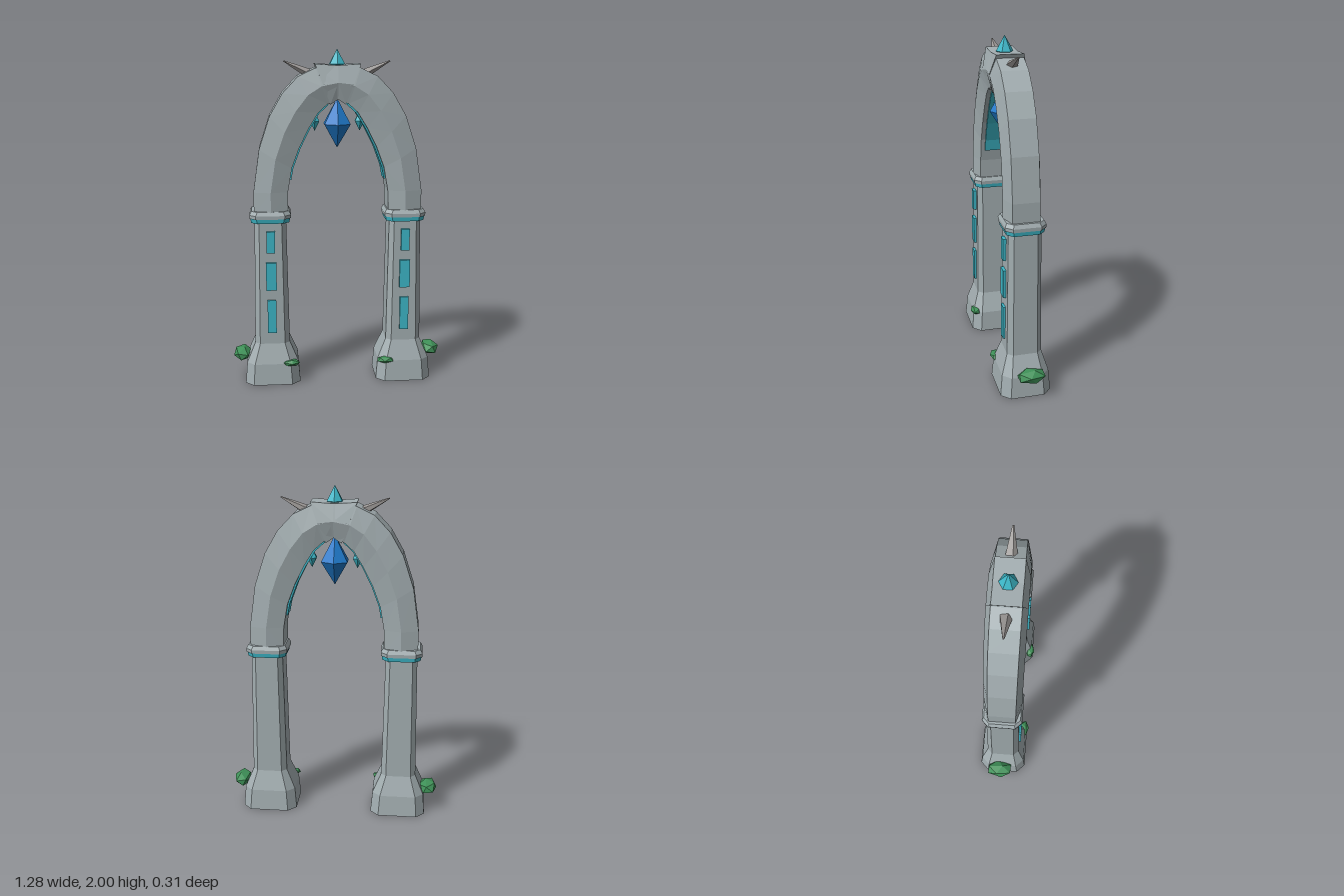
import * as THREE from 'three';

const ZC = -0.007; // shared centre line in z
const mat = (name, color) => Object.assign(new THREE.MeshStandardMaterial({ color }), { name });
const stone = mat('stone', 0xa3aeb1);
const horn = mat('horn', 0x9c9896);
const teal = mat('teal', 0x3db8c9);
const blue = mat('blue', 0x1f7acb);
const moss = mat('moss', 0x3f9158);

// Joins rings of points into a closed, flat-shaded solid that faces outward
function loft(rings) {
  const tris = [];
  const n = rings[0].length;
  for (let r = 0; r + 1 < rings.length; r++) {
    const a = rings[r], b = rings[r + 1];
    for (let i = 0; i < n; i++) {
      const j = (i + 1) % n;
      tris.push([a[i], a[j], b[j]], [a[i], b[j], b[i]]);
    }
  }
  const first = rings[0], last = rings[rings.length - 1];
  for (let i = 1; i + 1 < n; i++) {
    tris.push([first[0], first[i + 1], first[i]], [last[0], last[i], last[i + 1]]);
  }
  const volume = tris.reduce((v, [a, b, c]) => v + a.dot(b.clone().cross(c)), 0);
  const points = tris.flatMap(([a, b, c]) => (volume < 0 ? [a, c, b] : [a, b, c]));
  const g = new THREE.BufferGeometry().setFromPoints(points);
  g.computeVertexNormals();
  return g;
}

function add(parent, name, geometry, material, x = 0, y = 0, z = 0) {
  const m = new THREE.Mesh(geometry, material);
  m.name = name;
  m.position.set(x, y, z);
  parent.add(m);
  return m;
}

const flat = (g) => {
  const f = g.index ? g.toNonIndexed() : g;
  f.computeVertexNormals();
  return f;
};

// Rectangle with cut corners at height y
function octagon(y, hx, hz, c) {
  return [[hx, hz - c], [hx - c, hz], [c - hx, hz], [-hx, hz - c],
    [-hx, c - hz], [c - hx, -hz], [hx - c, -hz], [hx, c - hz]]
    .map(([x, z]) => new THREE.Vector3(x, y, z));
}
const column = (profile) => loft(profile.map((p) => octagon(...p)));

// Six-sided double pyramid; y values are relative to its widest ring
function crystal(r, up, down) {
  return flat(new THREE.LatheGeometry(
    [new THREE.Vector2(0, -down), new THREE.Vector2(r, 0), new THREE.Vector2(0, up)], 6));
}

// Outer and inner edges of one half of the arch, running past the middle
const outer = [[-0.495, 1.05], [-0.495, 1.18], [-0.458, 1.43], [-0.395, 1.62], [-0.32, 1.75],
  [-0.23, 1.845], [-0.13, 1.893], [0, 1.906], [0.132, 1.915]];
const inner = [[-0.298, 1.05], [-0.294, 1.18], [-0.27, 1.32], [-0.225, 1.44], [-0.17, 1.55],
  [-0.115, 1.64], [-0.06, 1.69], [0, 1.715], [0.045, 1.685]];

// Hexagonal section with a ridge along the middle of each face
function archHalf(s, k) {
  return loft(outer.map(([ox, oy], i) => {
    const [ix, iy] = inner[i];
    const mx = (ox + ix) / 2, my = (oy + iy) / 2;
    return [[ox, oy, 0.078], [mx, my, 0.108], [ix, iy, 0.08],
      [ix, iy, -0.08], [mx, my, -0.108], [ox, oy, -0.078]]
      .map(([x, y, z]) => new THREE.Vector3(s * x, y, z * k));
  }));
}

// Glowing strip lying on the inner face of the arch
function archStrip(s) {
  const path = [[-0.283, 1.25], ...inner.slice(2, 7)];
  return loft(path.map(([x, y], i) => {
    const a = path[Math.max(i - 1, 0)], b = path[Math.min(i + 1, path.length - 1)];
    const n = new THREE.Vector2(b[1] - a[1], a[0] - b[0]).normalize();
    return [[-0.01, 0.055], [0.01, 0.055], [0.01, -0.055], [-0.01, -0.055]]
      .map(([d, z]) => new THREE.Vector3(s * (x + n.x * d), y + n.y * d, z));
  }));
}

function mossClump(parent, x, y, z, rx, ry, rz, turn) {
  const g = new THREE.IcosahedronGeometry(1, 0).rotateY(turn).rotateZ(0.3).scale(rx, ry, rz);
  add(parent, 'mossClump', flat(g), moss, x, y, z);
}

export function createModel() {
  const model = new THREE.Group();
  model.name = 'crystalArch';

  for (const s of [-1, 1]) {
    const side = new THREE.Group();
    side.name = s < 0 ? 'rightSide' : 'leftSide';
    model.add(side);

    // Pillar with flared foot, band and collar
    add(side, 'pillar', column([[0, 0.167, 0.15, 0.05], [0.13, 0.156, 0.139, 0.048],
      [0.25, 0.105, 0.102, 0.03], [1.01, 0.093, 0.094, 0.027]]), stone, s * 0.4, 0, ZC);
    add(side, 'collarBand', column([[0.998, 0.112, 0.108, 0.035], [1.03, 0.117, 0.113, 0.036]]),
      teal, s * 0.4, 0, ZC);
    add(side, 'collar', column([[1.024, 0.121, 0.116, 0.037], [1.045, 0.122, 0.117, 0.037],
      [1.067, 0.11, 0.106, 0.034]]), stone, s * 0.4, 0, ZC);

    // Inlaid panels on the front of the pillar
    for (const [y, w, h] of [[0.425, 0.052, 0.205], [0.675, 0.062, 0.17], [0.885, 0.05, 0.13]]) {
      add(side, 'panel', new THREE.BoxGeometry(w, h, 0.03), teal, s * 0.4, y, 0.092);
    }

    // Arch half; one is a touch deeper so the overlap stays clean
    add(side, 'archHalf', archHalf(s < 0 ? 1 : -1, s < 0 ? 1.01 : 1), stone, 0, 0, ZC);
    add(side, 'archStrip', archStrip(s < 0 ? 1 : -1), teal, 0, 0, ZC);

    // Horn leaning outward from the crown
    const spike = add(side, 'horn', flat(new THREE.CylinderGeometry(0.005, 0.036, 0.155, 5)),
      horn, s * 0.238, 1.896, ZC);
    spike.scale.x = 0.75;
    spike.rotation.z = -s * 1.12;

    add(side, 'smallCrystal', crystal(0.031, 0.06, 0.058), teal, s * 0.132, 1.585, ZC);

    // Moss at the foot
    mossClump(side, s * 0.585, 0.152, -0.023, 0.058, 0.042, 0.092, s * 0.4);
    mossClump(side, s * 0.288, 0.134, 0.122, 0.057, 0.021, 0.032, s * 0.9);
  }

  // Hanging and crowning crystals
  add(model, 'largeCrystal', crystal(0.088, 0.15, 0.14), blue, 0, 1.568, ZC);
  add(model, 'crownCrystal', crystal(0.05, 0.088, 0.04), teal, 0, 1.912, ZC);

  return model;
}
